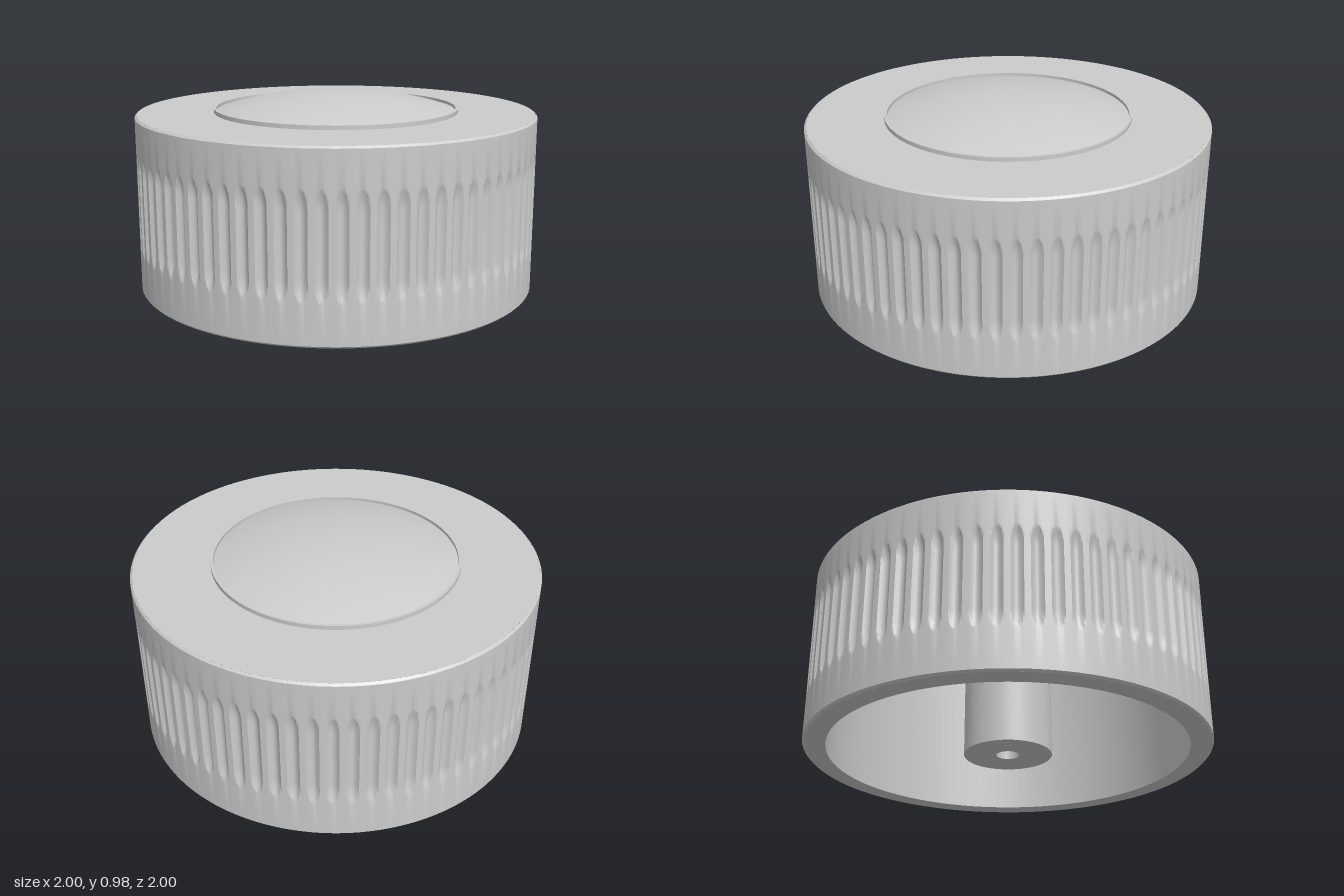
import * as THREE from 'three';
import { toCreasedNormals } from 'three/addons/utils/BufferGeometryUtils.js';

const material = new THREE.MeshStandardMaterial({ color: 0xcccccc });

// Turned part from [radius, y] pairs, with sharp profile corners kept
function turned(name, profile, segments = 128) {
  const points = profile.map(([r, y]) => new THREE.Vector2(r, y));
  const geometry = toCreasedNormals(new THREE.LatheGeometry(points, segments), 0.5);
  const mesh = new THREE.Mesh(geometry, material);
  mesh.name = name;
  return mesh;
}

// Outer wall with concave grip flutes that run out at both ends
function flutedWall() {
  const flutes = 72, perFlute = 12, depth = 0.02;
  const low = 0.2, high = 0.7, runout = 0.1;
  const profile = [[0.99, 0], [1, 0.01]];
  for (let i = 0; i <= 6; i++) profile.push([1, low + runout * i / 6]);
  for (let i = 0; i <= 6; i++) profile.push([1, high - runout + runout * i / 6]);
  profile.push([1, 0.87], [0.99, 0.88]);
  const points = profile.map(([r, y]) => new THREE.Vector2(r, y));
  const geometry = new THREE.LatheGeometry(points, flutes * perFlute);
  const pos = geometry.attributes.position;
  const pitch = (Math.PI * 2) / flutes;
  for (let i = 0; i < pos.count; i++) {
    const x = pos.getX(i), y = pos.getY(i), z = pos.getZ(i);
    if (y < low || y > high) continue;
    // t is 0 in the middle of a flute and 1 at the edge of the ridge
    const turn = (Math.atan2(x, z) + Math.PI * 2) / pitch;
    const t = Math.abs(turn - Math.floor(turn) - 0.5) / 0.33;
    const end = Math.max(0, low + runout - y, y - (high - runout)) / runout;
    const cut = depth * Math.max(0, 1 - t * t - end * end);
    pos.setXYZ(i, x * (1 - cut), y, z * (1 - cut));
  }
  const mesh = new THREE.Mesh(toCreasedNormals(geometry, 0.5), material);
  mesh.name = 'flutedWall';
  return mesh;
}

export function createModel() {
  const knob = new THREE.Group();
  knob.name = 'knob';

  knob.add(flutedWall());
  knob.add(turned('topFace', [[0.99, 0.88], [0.6, 0.88]]));

  // Hollow underside: ceiling, inner wall and bottom rim
  knob.add(turned('hollowInterior', [[0.217, 0.77], [0.89, 0.77], [0.89, 0], [0.99, 0]]));

  // Central post with a blind shaft hole
  knob.add(turned('shaftPost', [[0, 0.6], [0.057, 0.6], [0.057, 0], [0.217, 0], [0.217, 0.77]], 64));

  // Thin raised ring around the cap
  knob.add(turned('capRing', [[0.613, 0.88], [0.613, 0.9], [0.6, 0.9], [0.6, 0.88]]));

  // Shallow domed cap, a slice of a large sphere
  const capRadius = 0.6, rise = 0.093, top = 0.978;
  const sphere = (capRadius ** 2 + rise ** 2) / (2 * rise);
  const dome = [];
  for (let i = 0; i <= 12; i++) {
    const r = capRadius * (1 - i / 12);
    dome.push([r, top - sphere + Math.sqrt(sphere ** 2 - r ** 2)]);
  }
  knob.add(turned('domedCap', dome));

  return knob;
}
